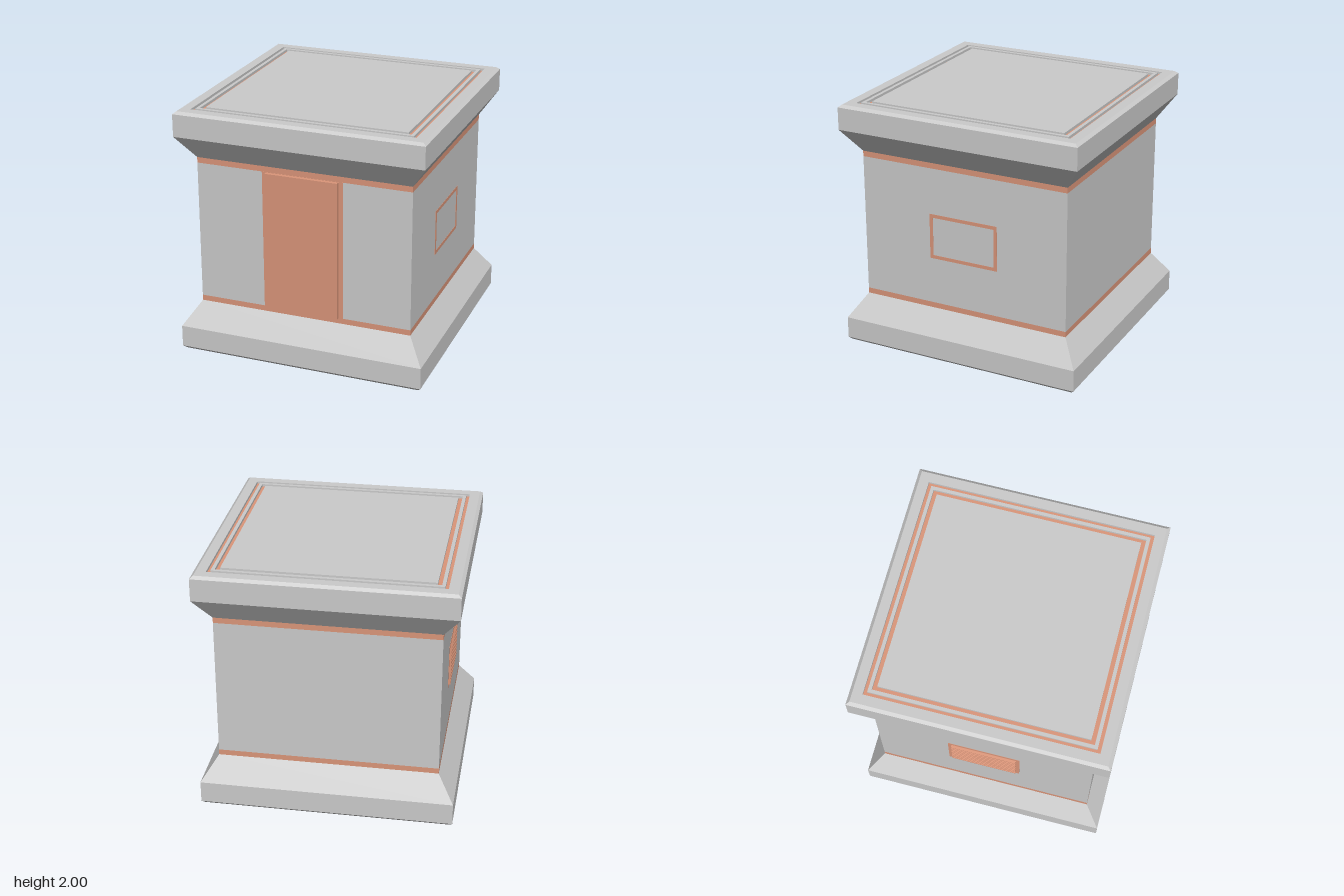
import * as THREE from 'three';

const grey = new THREE.MeshStandardMaterial({ color: 0xcccccc, flatShading: true });
const copper = new THREE.MeshStandardMaterial({ color: 0xdb967a, flatShading: true });

// Square shell swept from [half width, y] pairs, listed from bottom to top
function squareShell(name, profile, material) {
  const points = profile.map(([half, y]) => new THREE.Vector2(half * Math.SQRT2, y));
  const geometry = new THREE.LatheGeometry(points, 4, Math.PI / 4).toNonIndexed();
  geometry.computeVertexNormals();
  const mesh = new THREE.Mesh(geometry, material);
  mesh.name = name;
  return mesh;
}

function box(name, size, position, material) {
  const mesh = new THREE.Mesh(new THREE.BoxGeometry(...size), material);
  mesh.position.set(...position);
  mesh.name = name;
  return mesh;
}

// Flat rectangular frame facing +z
function rectFrame(name, width, height, border, depth) {
  const rect = (path, w, h) => path.moveTo(-w / 2, -h / 2).lineTo(w / 2, -h / 2)
    .lineTo(w / 2, h / 2).lineTo(-w / 2, h / 2).closePath();
  const shape = rect(new THREE.Shape(), width, height);
  shape.holes.push(rect(new THREE.Path(), width - 2 * border, height - 2 * border));
  const mesh = new THREE.Mesh(new THREE.ExtrudeGeometry(shape, { depth, bevelEnabled: false }), copper);
  mesh.name = name;
  return mesh;
}

export function createModel() {
  const model = new THREE.Group();
  model.name = 'squareBuilding';
  const wall = 0.87, top = 2, floor = 1.98;

  // Plinth, walls and trim bands
  model.add(
    squareShell('plinth', [[0, 0], [0.975, 0], [1, 0.025], [1, 0.2], [wall, 0.395]], grey),
    squareShell('lowerBand', [[wall, 0.395], [wall, 0.44]], copper),
    squareShell('walls', [[wall, 0.44], [wall, 1.565]], grey),
    squareShell('upperBand', [[wall, 1.565], [wall, 1.61]], copper),
  );

  // Flared cornice and roof with two inset grooves
  model.add(
    squareShell('cornice', [[wall, 1.61], [1, 1.8], [1, 1.98], [0.975, top], [0.897, top], [0.897, floor]], grey),
    squareShell('outerGroove', [[0.897, floor], [0.87, floor]], copper),
    squareShell('roofRib', [[0.87, floor], [0.87, top], [0.843, top], [0.843, floor]], grey),
    squareShell('innerGroove', [[0.843, floor], [0.81, floor]], copper),
    squareShell('roofPanel', [[0.81, floor], [0.81, top], [0, top]], grey),
  );

  // Front door on its flush surround
  model.add(
    box('doorSurround', [0.655, 1.125, 0.02], [-0.003, 1.0025, wall - 0.008], copper),
    box('door', [0.585, 1.12, 0.04], [-0.003, 1.0025, 0.882], copper),
  );

  // Window outline on the +x wall
  const windowFrame = rectFrame('windowFrame', 0.58, 0.37, 0.028, 0.02);
  windowFrame.rotation.y = Math.PI / 2;
  windowFrame.position.set(wall - 0.018, 1.005, 0);
  model.add(windowFrame);

  // Louvred vent on the -x wall
  const vent = new THREE.Group();
  vent.name = 'vent';
  vent.add(rectFrame('ventFrame', 0.58, 0.37, 0.028, 0.02));
  vent.add(box('ventBack', [0.53, 0.32, 0.01], [0, 0, 0.014], copper));
  const slats = 8, pitch = 0.32 / slats;
  const wedge = new THREE.Shape([[0, 0], [0.017, 0], [0.017, 0.012], [0, pitch]]
    .map(([x, y]) => new THREE.Vector2(x, y)));
  const slatGeometry = new THREE.ExtrudeGeometry(wedge, { depth: 0.524, bevelEnabled: false });
  slatGeometry.translate(0, 0, -0.262).rotateY(-Math.PI / 2);
  for (let i = 0; i < slats; i++) {
    const slat = new THREE.Mesh(slatGeometry, copper);
    slat.name = 'ventSlat';
    slat.position.set(0, -0.16 + i * pitch, 0.017);
    vent.add(slat);
  }
  vent.rotation.y = -Math.PI / 2;
  vent.position.set(-(wall - 0.018), 1.005, 0);
  model.add(vent);

  return model;
}
